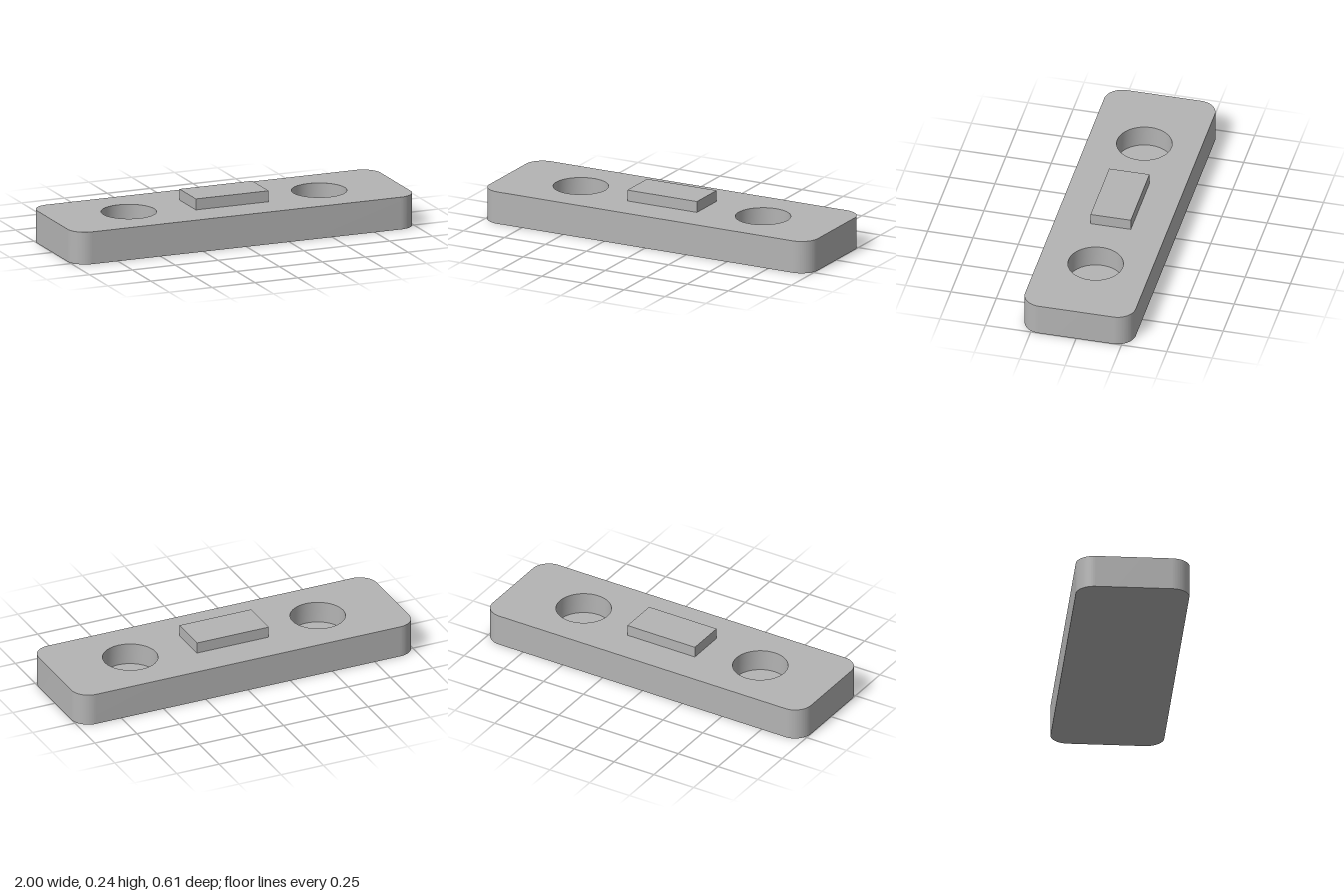
import * as THREE from 'three';
import { toCreasedNormals } from 'three/addons/utils/BufferGeometryUtils.js';

const HALF_X = 1, HALF_Z = 0.305, CORNER = 0.1;
const TOP = 0.179, FLOOR = 0.06, BLOCK_TOP = 0.24;
const HOLE_X = 0.555, HOLE_R = 0.149;
const SEGMENTS = 24;

// Counter-clockwise rounded rectangle
function plateOutline() {
  const s = new THREE.Shape();
  const x = HALF_X - CORNER, z = HALF_Z - CORNER;
  s.absarc(x, z, CORNER, 0, Math.PI / 2);
  s.absarc(-x, z, CORNER, Math.PI / 2, Math.PI);
  s.absarc(-x, -z, CORNER, Math.PI, Math.PI * 1.5);
  s.absarc(x, -z, CORNER, Math.PI * 1.5, Math.PI * 2);
  s.closePath();
  return s;
}

function circle(x) {
  return new THREE.Shape().absarc(x, 0, HOLE_R, 0, Math.PI * 2);
}

// Flat face at height y, facing up or down
function face(shape, y, up = true) {
  const g = new THREE.ShapeGeometry(shape, SEGMENTS);
  g.rotateX(up ? -Math.PI / 2 : Math.PI / 2);
  return g.translate(0, y, 0);
}

// Upright wall along a closed outline, facing outward or inward
function wall(shape, y0, y1, inward = false) {
  const pts = shape.getPoints(SEGMENTS);
  const positions = [];
  for (let i = 0; i < pts.length; i++) {
    let a = pts[i], b = pts[(i + 1) % pts.length];
    if (a.distanceTo(b) < 1e-6) continue;
    if (inward) [a, b] = [b, a];
    positions.push(
      a.x, y0, -a.y, b.x, y0, -b.y, b.x, y1, -b.y,
      a.x, y0, -a.y, b.x, y1, -b.y, a.x, y1, -a.y);
  }
  const g = new THREE.BufferGeometry();
  g.setAttribute('position', new THREE.Float32BufferAttribute(positions, 3));
  return toCreasedNormals(g, Math.PI / 6);
}

export function createModel() {
  const model = new THREE.Group();
  model.name = 'mountingPlate';
  const grey = new THREE.MeshStandardMaterial({ color: 0xb4b4b4 });
  grey.name = 'grey';

  const add = (name, geometry) => {
    const mesh = new THREE.Mesh(geometry, grey);
    mesh.name = name;
    model.add(mesh);
    return mesh;
  };

  // Rounded plate
  const outline = plateOutline();
  add('plateSides', wall(outline, 0, TOP));
  add('plateBottom', face(outline, 0, false));
  const pierced = plateOutline();
  pierced.holes = [circle(-HOLE_X), circle(HOLE_X)];
  add('plateTop', face(pierced, TOP));

  // Blind round recesses
  for (const [side, x] of [['right', -HOLE_X], ['left', HOLE_X]]) {
    add(side + 'RecessWall', wall(circle(x), FLOOR, TOP, true));
    add(side + 'RecessFloor', face(circle(x), FLOOR));
  }

  // Raised centre block
  const height = BLOCK_TOP - TOP;
  add('centreBlock', new THREE.BoxGeometry(0.424, height, 0.222))
    .position.y = TOP + height / 2;

  return model;
}
